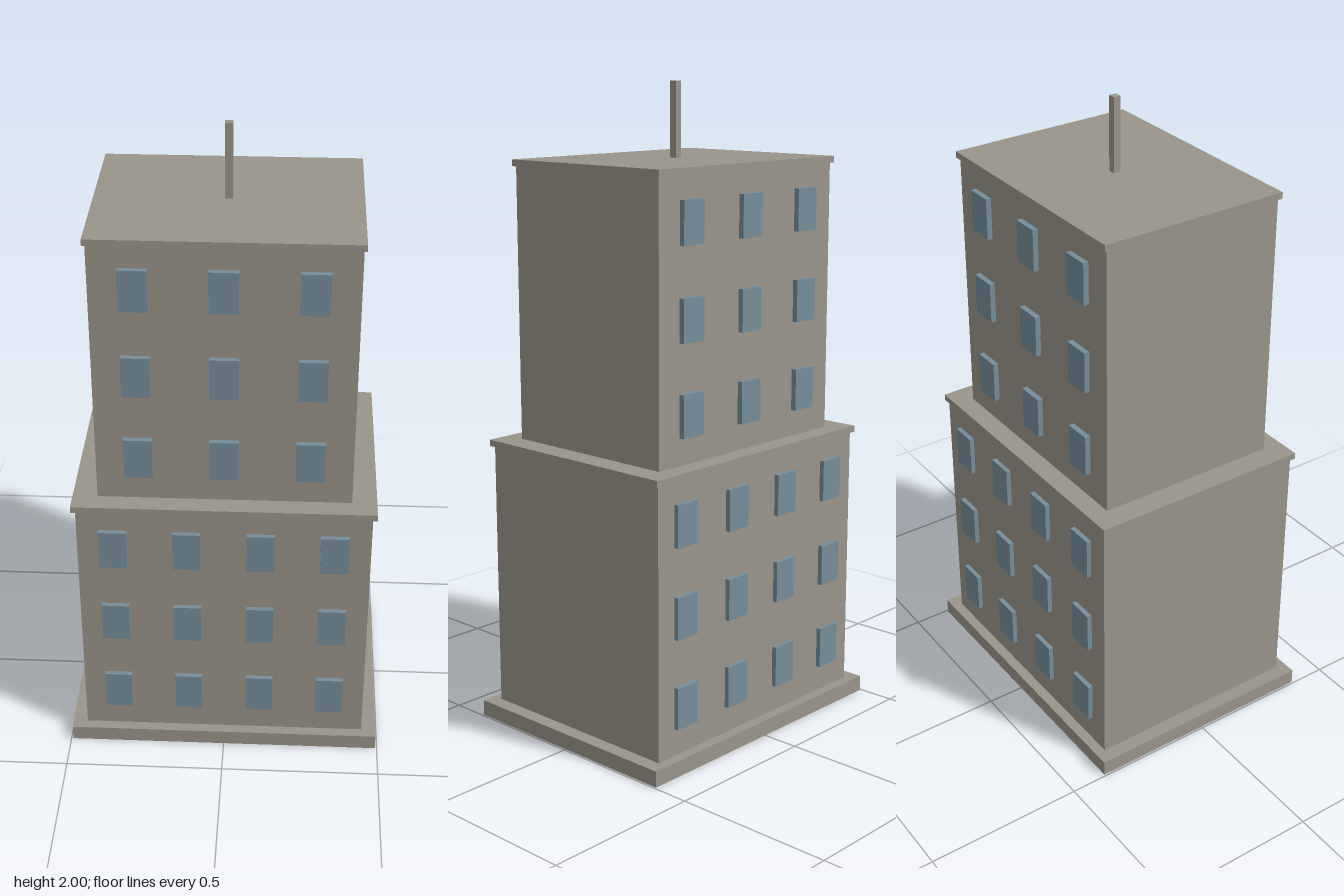
import * as THREE from 'three';

export function createModel() {
  const model = new THREE.Group();
  model.name = 'towerBuilding';

  const stone = new THREE.MeshStandardMaterial({ color: 0x9a958a });
  stone.name = 'stone';
  const glass = new THREE.MeshStandardMaterial({ color: 0x768e9b });
  glass.name = 'windowGlass';

  // Box centred on the y axis, given by its bottom and top heights
  function slab(name, width, depth, bottom, top) {
    const mesh = new THREE.Mesh(new THREE.BoxGeometry(width, top - bottom, depth), stone);
    mesh.name = name;
    mesh.position.y = (bottom + top) / 2;
    model.add(mesh);
  }

  slab('plinth', 0.988, 0.764, 0, 0.05);
  slab('lowerBlock', 0.896, 0.698, 0.05, 0.89);
  slab('lowerCornice', 0.922, 0.714, 0.89, 0.91);
  slab('upperBlock', 0.77, 0.588, 0.91, 1.75);
  slab('roofCornice', 0.786, 0.607, 1.75, 1.77);
  slab('antenna', 0.023, 0.023, 1.77, 2);

  // Raised window panes, mirrored on the front and back walls
  const pane = new THREE.BoxGeometry(0.086, 0.13, 0.022);
  function windows(name, columns, spacing, firstY, outerZ) {
    const group = new THREE.Group();
    group.name = name;
    for (const side of [1, -1]) {
      for (let row = 0; row < 3; row++) {
        for (let col = 0; col < columns; col++) {
          const mesh = new THREE.Mesh(pane, glass);
          mesh.name = side > 0 ? 'frontWindow' : 'backWindow';
          mesh.position.set(
            (col - (columns - 1) / 2) * spacing,
            firstY + row * 0.279,
            side * (outerZ - 0.011)
          );
          group.add(mesh);
        }
      }
    }
    model.add(group);
  }

  windows('lowerWindows', 4, 0.225, 0.2, 0.364);
  windows('upperWindows', 3, 0.256, 1.058, 0.311);

  return model;
}
